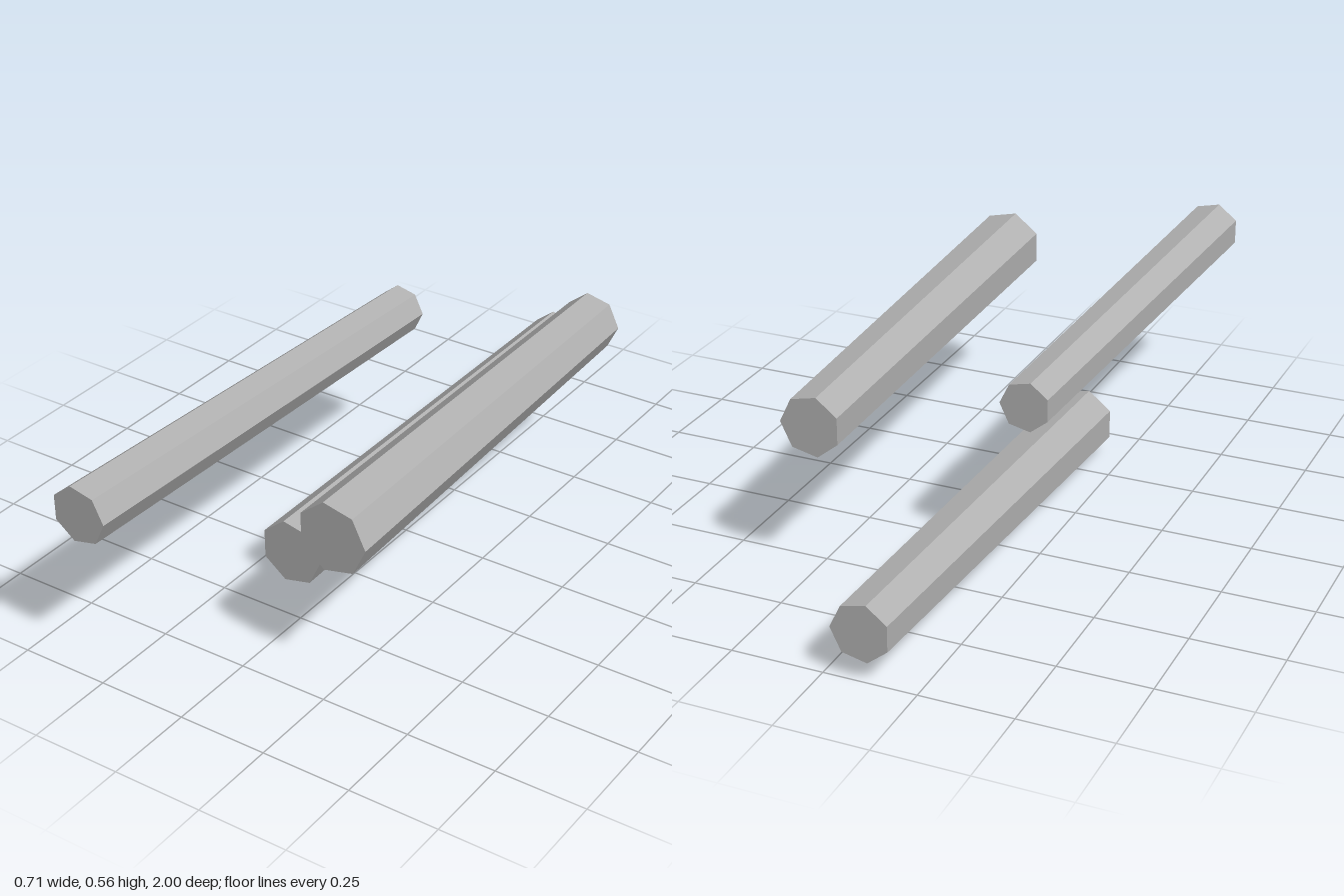
import * as THREE from 'three';

const SIDES = 7;

// Tapered seven-sided log between two end rings; each end is [x, y, z, radius]
function makeLog(front, back, material, name) {
  const [fx, fy, fz, fr] = front;
  const [bx, by, bz, br] = back;
  const length = fz - bz;
  let geo = new THREE.CylinderGeometry(fr, br, length, SIDES, 1, false, Math.PI / 2);
  geo.rotateX(Math.PI / 2);

  // Slant the log by sliding its rings, so both ends stay cut square to z
  const p = geo.attributes.position;
  for (let i = 0; i < p.count; i++) {
    const t = p.getZ(i) / length + 0.5;
    p.setXYZ(
      i,
      p.getX(i) + THREE.MathUtils.lerp(bx, fx, t),
      p.getY(i) + THREE.MathUtils.lerp(by, fy, t),
      THREE.MathUtils.lerp(bz, fz, t)
    );
  }

  // Flat facets
  geo = geo.toNonIndexed();
  geo.computeVertexNormals();
  const mesh = new THREE.Mesh(geo, material);
  mesh.name = name;
  return mesh;
}

export function createModel() {
  const group = new THREE.Group();
  group.name = 'logs';
  const grey = new THREE.MeshStandardMaterial({ color: 0xb2b2b2 });
  grey.name = 'grey';

  group.add(
    makeLog([-0.284, 0.488, 1.0, 0.08], [-0.247, 0.471, -0.354, 0.069], grey, 'rightLog'),
    makeLog([0.256, 0.459, 0.711, 0.099], [0.217, 0.446, -0.625, 0.084], grey, 'leftLog'),
    makeLog([-0.117, 0.094, 0.378, 0.095], [-0.102, 0.134, -1.0, 0.08], grey, 'lowerLog')
  );
  return group;
}
